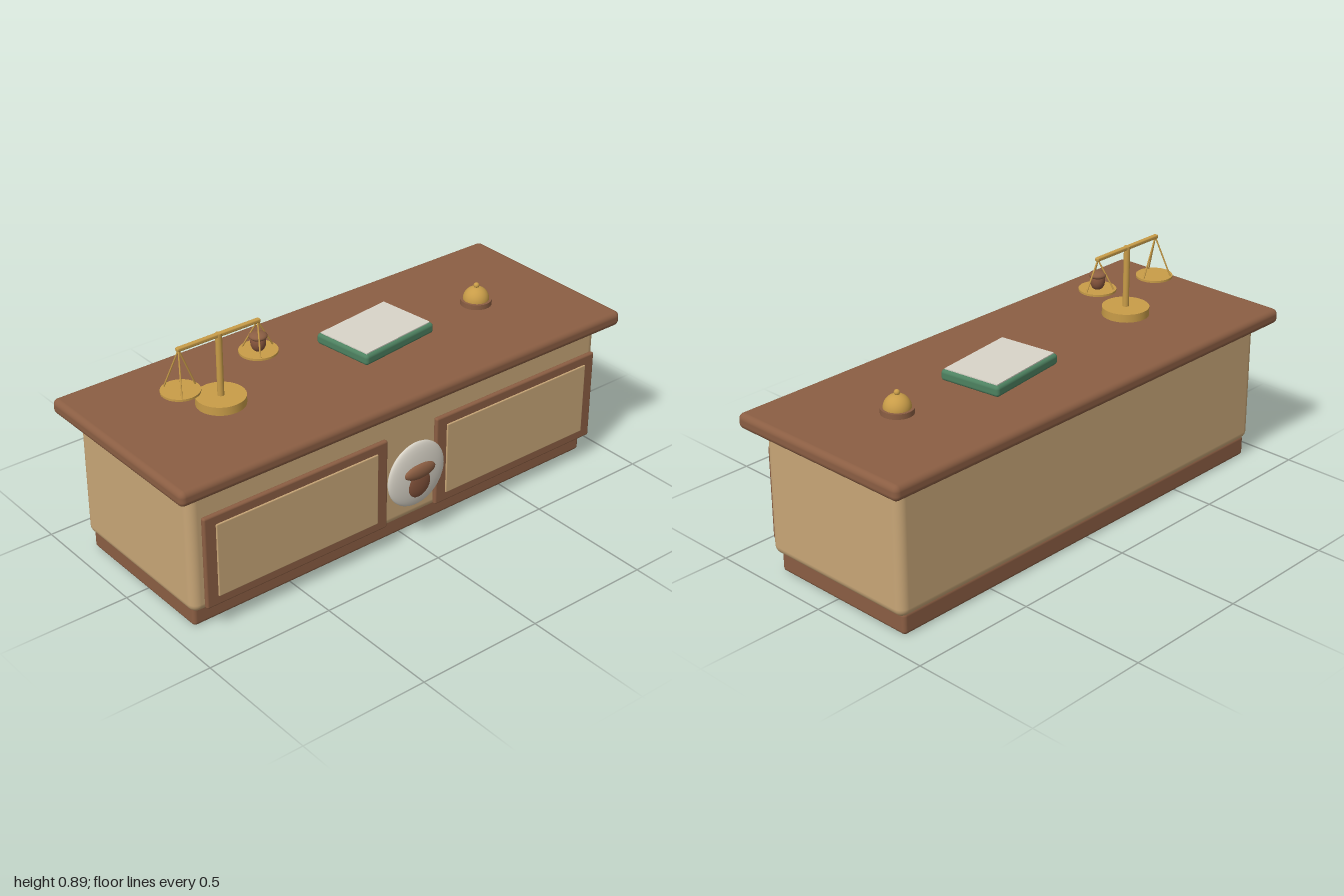
import * as THREE from 'three';
import { RoundedBoxGeometry } from 'three/addons/geometries/RoundedBoxGeometry.js';

const mat = (name, color) => new THREE.MeshStandardMaterial({ name, color });

export function createModel() {
  const wood = mat('brown wood', 0x8b5e43);
  const tan = mat('tan wood', 0xc8a677);
  const gold = mat('brass', 0xc89c48);
  const green = mat('green cover', 0x4d8160);
  const cream = mat('cream', 0xd9d4c8);
  const nutBrown = mat('nut brown', 0x85543c);

  const model = new THREE.Group();
  model.name = 'counterDesk';

  const add = (parent, name, geometry, material, x = 0, y = 0, z = 0) => {
    const mesh = new THREE.Mesh(geometry, material);
    mesh.name = name;
    mesh.position.set(x, y, z);
    parent.add(mesh);
    return mesh;
  };
  const group = (name, x, y, z) => {
    const g = new THREE.Group();
    g.name = name;
    g.position.set(x, y, z);
    model.add(g);
    return g;
  };
  // Rounded box given by its minimum and maximum corners
  const block = (parent, name, material, [x0, y0, z0], [x1, y1, z1], r) =>
    add(parent, name, new RoundedBoxGeometry(x1 - x0, y1 - y0, z1 - z0, 4, r), material,
      (x0 + x1) / 2, (y0 + y1) / 2, (z0 + z1) / 2);
  const disc = (r, h) => new THREE.CylinderGeometry(r, r, h, 32);
  // Thin rod between two points
  const rod = (parent, name, a, b, r, material) => {
    const dir = b.clone().sub(a);
    const mid = a.clone().add(b).multiplyScalar(0.5);
    const mesh = add(parent, name, new THREE.CylinderGeometry(r, r, dir.length(), 10), material, mid.x, mid.y, mid.z);
    mesh.quaternion.setFromUnitVectors(new THREE.Vector3(0, 1, 0), dir.normalize());
  };
  // Acorn: egg-shaped nut with a flattened cap and a short stem
  const acorn = (parent, name, s, x, y, z, depth = 1) => {
    const g = new THREE.Group();
    g.name = name;
    g.position.set(x, y, z);
    g.scale.set(s, s, s * depth);
    parent.add(g);
    add(g, 'nut', new THREE.SphereGeometry(1, 24, 16), nutBrown).scale.set(0.84, 1.1, 0.84);
    add(g, 'cap', new THREE.SphereGeometry(1, 24, 16), wood, 0, 0.72, 0).scale.set(1, 0.44, 1);
    return g;
  };

  // Desk carcass
  block(model, 'plinth', wood, [-0.915, 0, -0.338], [0.915, 0.085, 0.288], 0.015);
  block(model, 'body', tan, [-0.935, 0.07, -0.348], [0.935, 0.563, 0.317], 0.035);
  block(model, 'top', wood, [-1, 0.558, -0.41], [1, 0.617, 0.378], 0.022);

  // Framed front panels
  for (const side of [-1, 1]) {
    const g = group(side < 0 ? 'rightPanel' : 'leftPanel', side * 0.506, 0.283, 0);
    block(g, 'frame', wood, [-0.393, -0.182, 0.33], [0.393, 0.182, 0.35], 0.008);
    block(g, 'inset', tan, [-0.346, -0.145, 0.335], [0.346, 0.145, 0.355], 0.004);
  }

  // Medallion with acorn
  const medal = group('medallion', 0, 0.295, 0);
  add(medal, 'disc', new THREE.SphereGeometry(1, 40, 20), cream, 0, 0, 0.37).scale.set(0.13, 0.13, 0.024);
  add(medal, 'nut', new THREE.SphereGeometry(1, 28, 16), nutBrown, 0, -0.03, 0.383).scale.set(0.057, 0.062, 0.017);
  add(medal, 'cap', new THREE.SphereGeometry(1, 28, 16), wood, 0, 0.021, 0.392).scale.set(0.07, 0.03, 0.018);

  // Balance scale
  const scale = group('balanceScale', -0.56, 0.617, -0.015);
  add(scale, 'base', disc(0.09, 0.032), gold, 0, 0.016, 0);
  add(scale, 'column', disc(0.012, 0.26), gold, 0, 0.142, 0);
  add(scale, 'beam', new RoundedBoxGeometry(0.345, 0.015, 0.018, 3, 0.005), gold, 0, 0.266, 0);
  for (const [x, y] of [[-0.164, 0.108], [0.164, 0.149]]) {
    add(scale, 'pan', disc(0.07, 0.008), gold, x, y, 0);
    for (let i = 0; i < 3; i++) {
      const a = (i * Math.PI * 2) / 3;
      rod(scale, 'cord', new THREE.Vector3(x, 0.264, 0),
        new THREE.Vector3(x + 0.063 * Math.cos(a), y, 0.063 * Math.sin(a)), 0.003, gold);
    }
  }
  acorn(scale, 'weighedAcorn', 0.033, 0.164, 0.182, 0);

  // Book with a pale page
  const book = group('book', 0.15, 0.617, -0.04);
  book.rotation.y = 0.125;
  block(book, 'cover', green, [-0.179, 0, -0.127], [0.179, 0.042, 0.127], 0.013);
  add(book, 'page', new THREE.BoxGeometry(0.335, 0.008, 0.23), cream, 0, 0.042, 0);

  // Desk bell
  const bell = group('bell', 0.622, 0.617, -0.015);
  add(bell, 'base', disc(0.06, 0.02), wood, 0, 0.01, 0);
  add(bell, 'dome', new THREE.SphereGeometry(0.05, 32, 12, 0, Math.PI * 2, 0, Math.PI / 2), gold, 0, 0.019, 0);
  add(bell, 'button', new THREE.SphereGeometry(0.011, 16, 12), gold, 0, 0.075, 0);

  return model;
}
